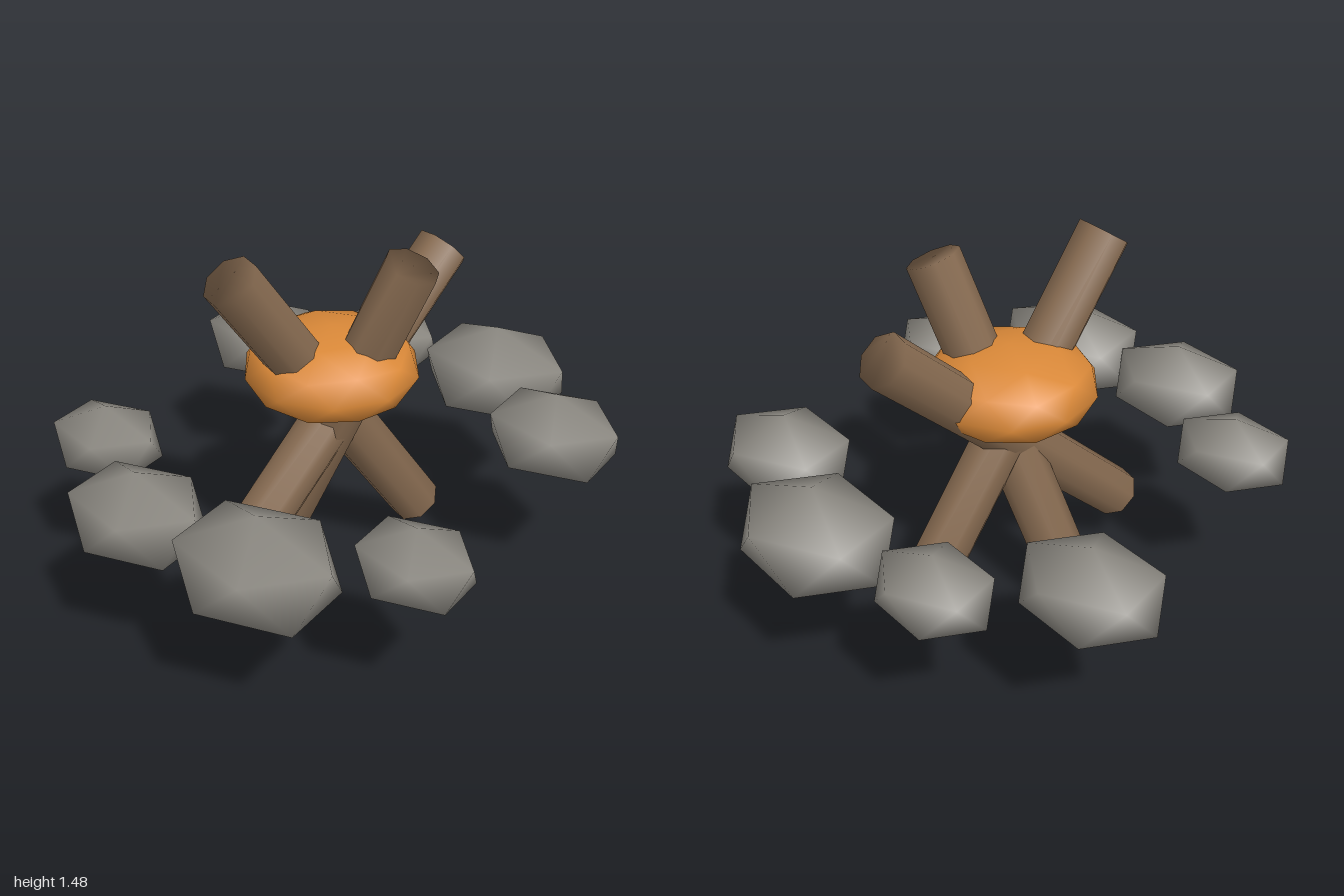
import * as THREE from 'three';
import { mergeVertices } from 'three/addons/utils/BufferGeometryUtils.js';

const material = (name, color) => {
  const m = new THREE.MeshStandardMaterial({ color });
  m.name = name;
  return m;
};

// Weld all corners so the low-poly form is shaded smoothly
function weld(geometry) {
  geometry.deleteAttribute('normal');
  geometry.deleteAttribute('uv');
  const welded = mergeVertices(geometry, 1e-4);
  welded.computeVertexNormals();
  return welded;
}

// Icosphere with its poles on the y axis, squashed to the given radii
function icosphere(detail, rx, ry, rz) {
  const g = new THREE.IcosahedronGeometry(1, detail);
  g.rotateZ(-Math.atan2(1, (1 + Math.sqrt(5)) / 2));
  g.scale(rx, ry, rz);
  return weld(g);
}

// Eight-sided prism with flat, centreless end caps
function prism(radius, length, sides = 8) {
  const pos = [], index = [];
  for (const y of [-length / 2, length / 2]) {
    for (let i = 0; i < sides; i++) {
      const a = (i / sides) * Math.PI * 2;
      pos.push(radius * Math.sin(a), y, radius * Math.cos(a));
    }
  }
  for (let i = 0; i < sides; i++) {
    const j = (i + 1) % sides;
    index.push(i, j, sides + j, i, sides + j, sides + i);
    if (i > 0 && i < sides - 1) {
      index.push(0, i + 1, i, sides, sides + i, sides + i + 1);
    }
  }
  const g = new THREE.BufferGeometry();
  g.setAttribute('position', new THREE.Float32BufferAttribute(pos, 3));
  g.setIndex(index);
  g.computeVertexNormals();
  return g;
}

export function createModel() {
  const model = new THREE.Group();
  model.name = 'campfire';
  const stoneGrey = material('stone grey', 0x8a8780);
  const barkBrown = material('bark brown', 0x866a50);
  const emberOrange = material('ember orange', 0xd98838);

  const add = (parent, name, geometry, mat) => {
    const mesh = new THREE.Mesh(geometry, mat);
    mesh.name = name;
    parent.add(mesh);
    return mesh;
  };

  // Ring of stones: ten places, with gaps at the left and right
  const ring = new THREE.Group();
  ring.name = 'stoneRing';
  model.add(ring);
  const sizes = [0, 0.235, 0.324, 0.28, 0.235, 0, 0.28, 0.235, 0.324, 0.28];
  sizes.forEach((r, i) => {
    if (!r) return;
    const a = (i / 10) * Math.PI * 2;
    const stone = add(ring, 'stone', icosphere(0, r, r * 0.6, r * 0.8), stoneGrey);
    stone.position.set(0.815 * Math.cos(a), 0.665, 0.815 * Math.sin(a));
  });

  // Three crossed logs, each from its bottom end to its top end
  const logs = new THREE.Group();
  logs.name = 'logs';
  model.add(logs);
  const up = new THREE.Vector3(0, 1, 0);
  [
    [[-0.285, 0.04, 0.065], [0.285, 1.4, -0.06]],
    [[-0.14, 0.24, 0.525], [0.13, 1.265, -0.525]],
    [[0.115, 0.205, -0.415], [-0.11, 1.425, 0.415]],
  ].forEach(([b, t]) => {
    const bottom = new THREE.Vector3(...b), top = new THREE.Vector3(...t);
    const axis = top.clone().sub(bottom);
    const log = add(logs, 'log', prism(0.1, axis.length()), barkBrown);
    log.position.copy(bottom).add(top).multiplyScalar(0.5);
    log.quaternion.setFromUnitVectors(up, axis.normalize());
  });

  // Glowing ember mound where the logs cross
  add(model, 'ember', icosphere(1, 0.32, 0.16, 0.32), emberOrange).position.y = 0.965;

  return model;
}
